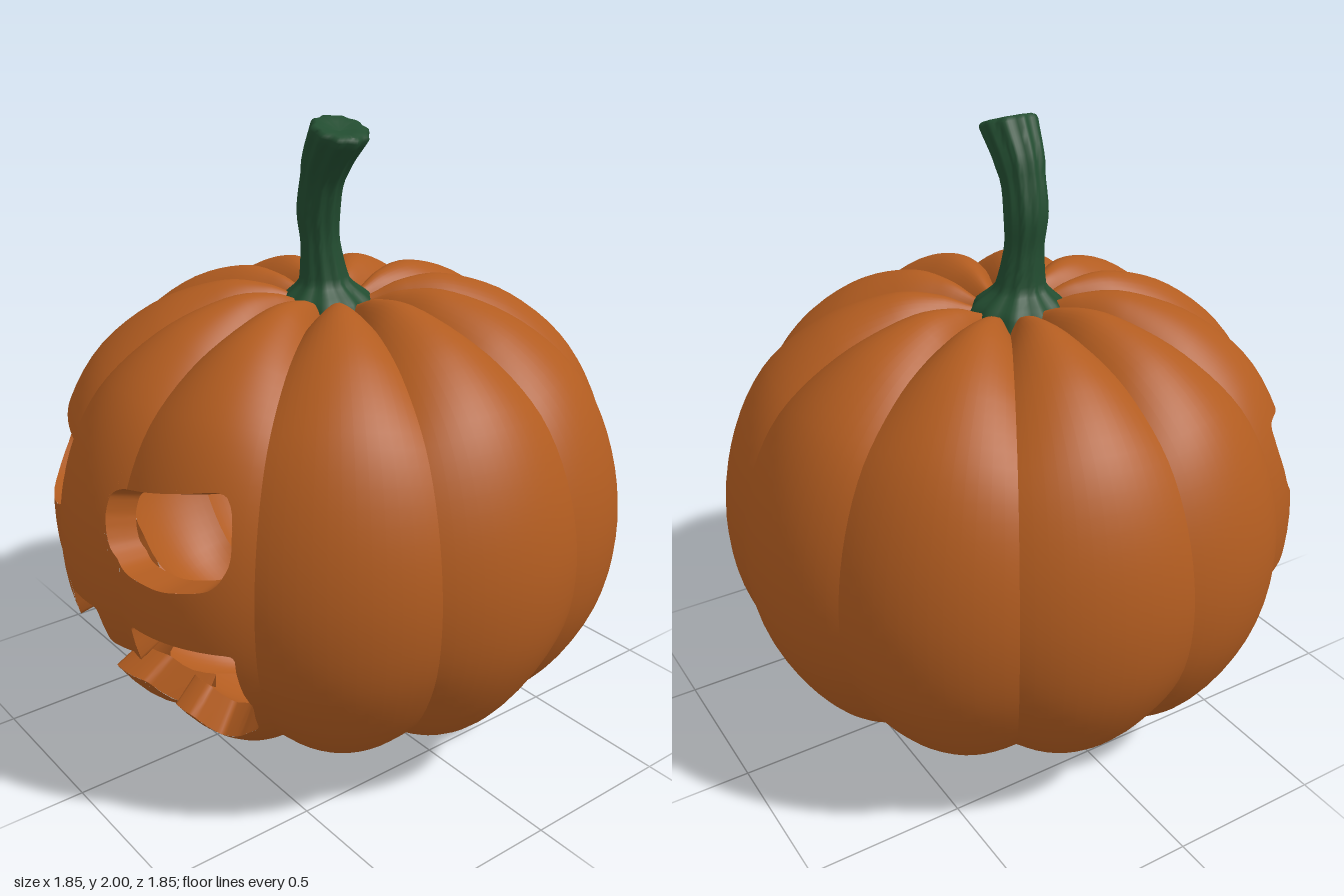
import * as THREE from 'three';
import { toCreasedNormals } from 'three/addons/utils/BufferGeometryUtils.js';

const flat = (name, color) => {
  const m = new THREE.MeshStandardMaterial({ color });
  m.name = name;
  return m;
};
const orange = flat('pumpkin orange', 0xb25c20);
const green = flat('stem green', 0x224c30);
const brown = flat('scar brown', 0x80492a);

const WALL = 0.105;
const ROWS = 64;
const snap = (v) => Math.round(v * 500) / 500;
const vec2s = (list) => list.map(([x, y]) => new THREE.Vector2(x, y));

// Ridge profile (radius, height) from the bottom dimple to the top dimple
const profile = new THREE.SplineCurve(vec2s([
  [0, 0.06], [0.1, 0.042], [0.25, 0.032], [0.49, 0.09], [0.72, 0.23], [0.88, 0.48], [0.928, 0.74],
  [0.887, 1.01], [0.772, 1.24], [0.58, 1.4], [0.37, 1.475], [0.22, 1.468], [0.11, 1.425], [0, 1.39],
]));

// Angles of the creases between the lobes, from +z towards +x
const creases = [-154, -120, -86, -54, -21, 8, 38, 71, 104, 139, 173, 206]
  .map((d) => snap(THREE.MathUtils.degToRad(d)));

// Point of the body at angle phi and profile parameter s, moved inwards by inset
function bodyPoint(phi, s, inset) {
  const p = profile.getPoint(s);
  const t = profile.getPoint(Math.min(1, s + 1e-3)).sub(profile.getPoint(Math.max(0, s - 1e-3))).normalize();
  const nx = t.y * Math.min(1, p.x / 0.15), ny = -t.x;
  const f = phi < creases[0] ? phi + Math.PI * 2 : phi;
  let i = 0;
  while (i < creases.length - 2 && f > creases[i + 1]) i++;
  const a = (f - creases[i]) / (creases[i + 1] - creases[i]);
  const d = inset + (0.027 + 0.033 * ny * ny) * (2 * a - 1) ** 2;
  const r = Math.max(0, p.x - nx * d);
  return new THREE.Vector3(r * Math.sin(phi), p.y - ny * d, r * Math.cos(phi));
}

function bodyNormal(phi, s, inset) {
  const c = THREE.MathUtils.clamp(s, 0.004, 0.996), e = 1e-5, h = 1e-3;
  const du = bodyPoint(phi + e, c, inset).sub(bodyPoint(phi - e, c, inset)).divideScalar(e);
  const dv = bodyPoint(phi, c + h, inset).sub(bodyPoint(phi, c - h, inset)).divideScalar(h);
  return du.cross(dv).normalize().multiplyScalar(inset > 0 ? -1 : 1);
}

// Finds the body parameters (phi, s) of a point given in front elevation
function toBody({ x, y }) {
  let phi = x, s = 0.5;
  for (let i = 0; i < 100; i++) {
    const p = bodyPoint(phi, s, 0);
    phi += (x - p.x) / 1.1;
    s += (y - p.y) / 4;
  }
  return { phi: snap(phi), s };
}

// Rounds the corners of an outline, subdivides it and lays it on the body
function carve(list, radius) {
  const pts = vec2s(list), out = [];
  pts.forEach((p, i) => {
    const prev = pts[(i + pts.length - 1) % pts.length], next = pts[(i + 1) % pts.length];
    const near = (q) => p.clone().lerp(q, Math.min(0.4, radius / p.distanceTo(q)));
    const corner = new THREE.QuadraticBezierCurve(near(prev), p, near(next));
    out.push(...corner.getPoints(radius > 0.03 ? 5 : 3));
  });
  const dense = [];
  out.forEach((p, i) => {
    const q = out[(i + 1) % out.length], n = Math.ceil(p.distanceTo(q) / 0.05);
    for (let k = 0; k < n; k++) dense.push(p.clone().lerp(q, k / n));
  });
  return dense.map(toBody);
}

// Cut-outs, clockwise as seen from the front
const holes = {
  rightEye: carve([[-0.61, 1.125], [-0.265, 1.03], [-0.26, 0.92], [-0.32, 0.82], [-0.44, 0.79],
    [-0.58, 0.81], [-0.65, 0.89], [-0.645, 1.02]], 0.04),
  leftEye: carve([[0.44, 1.11], [0.475, 1.05], [0.5, 0.92], [0.47, 0.84], [0.33, 0.805], [0.17, 0.81],
    [0.1, 0.85], [0.065, 0.94], [0.07, 1.025]], 0.04),
  mouth: carve([
    // upper edge with its teeth
    [-0.75, 0.645], [-0.57, 0.64], [-0.565, 0.53], [-0.505, 0.525], [-0.46, 0.635], [-0.31, 0.635],
    [-0.305, 0.515], [-0.16, 0.515], [-0.13, 0.635], [0.02, 0.635], [0.04, 0.52], [0.175, 0.505],
    [0.18, 0.64], [0.51, 0.645],
    // lower edge with its teeth
    [0.49, 0.44], [0.44, 0.32], [0.355, 0.25], [0.28, 0.22], [0.265, 0.32], [0.17, 0.32], [0.16, 0.205],
    [0.08, 0.2], [0.07, 0.355], [-0.09, 0.35], [-0.1, 0.195], [-0.29, 0.195], [-0.31, 0.35],
    [-0.43, 0.345], [-0.45, 0.19], [-0.57, 0.28], [-0.69, 0.41], [-0.735, 0.5]], 0.018),
};

const edges = Object.values(holes).flatMap((h) => h.map((p, i) => [p, h[(i + 1) % h.length]]));

// Shell surface built in columns that stop at the cut-outs
function shellGeometry(inset) {
  const cuts = new Set([...edges.map(([p]) => p.phi), -Math.PI, Math.PI]);
  for (let i = 0; i < creases.length - 1; i++) {
    for (let k = 0; k < 13; k++) {
      const f = THREE.MathUtils.lerp(creases[i], creases[i + 1], k / 13);
      cuts.add(f > Math.PI ? f - Math.PI * 2 : snap(f));
    }
  }
  const phis = [...cuts].sort((a, b) => a - b);
  const pos = [], nor = [], index = [];
  for (let c = 0; c < phis.length - 1; c++) {
    const a = phis[c], b = phis[c + 1], m = (a + b) / 2;
    const at = ([p, q], f) => p.s + (q.s - p.s) * (f - p.phi) / (q.phi - p.phi);
    const crossings = edges
      .filter(([p, q]) => Math.min(p.phi, q.phi) < m && Math.max(p.phi, q.phi) > m)
      .sort((e, g) => at(e, m) - at(g, m))
      .map((e) => [at(e, a), at(e, b)]);
    const limits = [[0, 0], ...crossings, [1, 1]];
    for (let k = 0; k < limits.length; k += 2) {
      // Shared row heights between the two limits keep neighbouring columns joined
      const levels = [limits[k]];
      const lo = Math.max(...limits[k]) + 1e-3, hi = Math.min(...limits[k + 1]) - 1e-3;
      for (let j = 1; j < ROWS; j++) if (j / ROWS > lo && j / ROWS < hi) levels.push([j / ROWS, j / ROWS]);
      levels.push(limits[k + 1]);
      levels.forEach((level, j) => {
        [a, b].forEach((f, side) => {
          pos.push(...bodyPoint(f, level[side], inset));
          nor.push(...bodyNormal(f + (m - f) * 0.2, level[side], inset));
        });
        if (j === 0) return;
        const v = pos.length / 3 - 4;
        if (inset > 0) index.push(v, v + 3, v + 1, v, v + 2, v + 3);
        else index.push(v, v + 1, v + 3, v, v + 3, v + 2);
      });
    }
  }
  const g = new THREE.BufferGeometry();
  g.setAttribute('position', new THREE.Float32BufferAttribute(pos, 3));
  g.setAttribute('normal', new THREE.Float32BufferAttribute(nor, 3));
  g.setIndex(index);
  return g;
}

// Closed rings joined into a skin
function loft(rings) {
  const n = rings[0].length, index = [];
  for (let r = 0; r < rings.length - 1; r++) {
    for (let i = 0; i < n; i++) {
      const a = r * n + i, b = r * n + (i + 1) % n;
      index.push(a, a + n, b, b, a + n, b + n);
    }
  }
  const g = new THREE.BufferGeometry().setFromPoints(rings.flat());
  g.setIndex(index);
  g.computeVertexNormals();
  return toCreasedNormals(g, 0.9);
}

// Ribbed stem: each station has a centre, a radius and a tilt
function stemGeometry() {
  const stations = [[-0.01, 1.38, 0.03, 0.155, 0], [-0.01, 1.43, 0.03, 0.13, 0], [-0.01, 1.485, 0.037, 0.076, 0],
    [-0.012, 1.58, 0.047, 0.061, 0], [-0.01, 1.71, 0.058, 0.064, 0.08], [0.035, 1.85, 0.066, 0.07, 0.32],
    [0.113, 1.96, 0.072, 0.084, 0.34]];
  const path = new THREE.CatmullRomCurve3(stations.map((s) => new THREE.Vector3(s[0], s[1], s[2])));
  const size = new THREE.CatmullRomCurve3(stations.map((s) => new THREE.Vector3(s[3], s[4], 0)));
  const ring = (t, scale, lift) => {
    const c = path.getPoint(t), { x: r, y: tilt } = size.getPoint(t);
    return Array.from({ length: 60 }, (_, i) => {
      const a = i / 60 * Math.PI * 2, d = r * scale * (1 + 0.05 * Math.cos(10 * a));
      return new THREE.Vector3(Math.cos(a) * d, lift, Math.sin(a) * d * 1.07)
        .applyAxisAngle(new THREE.Vector3(0, 0, 1), -tilt).add(c);
    });
  };
  const rings = Array.from({ length: 31 }, (_, i) => ring(i / 30, 1, 0));
  // Rounded rim and slightly sunken end
  rings.push(ring(1, 0.96, 0.01), ring(1, 0.85, 0.015), ring(1, 0.5, 0.01), ring(1, 0.001, 0));
  return loft(rings);
}

export function createModel() {
  const model = new THREE.Group();
  model.name = 'carvedPumpkin';
  const add = (name, geometry, material) => {
    const mesh = new THREE.Mesh(geometry, material);
    mesh.name = name;
    model.add(mesh);
    return mesh;
  };
  add('outerSkin', shellGeometry(0), orange);
  add('innerWall', shellGeometry(WALL), orange);

  // Cut faces through the thickness of the wall
  for (const [name, hole] of Object.entries(holes)) {
    const rings = [0, WALL / 2, WALL].map((d) => hole.map(({ phi, s }) => bodyPoint(phi, s, d)));
    add(name + 'CutFace', loft(rings), orange);
  }

  add('stem', stemGeometry(), green);

  // Small cupped scar under the body
  const scar = add('bottomScar', new THREE.LatheGeometry(vec2s([[0, 0.04], [0.05, 0.028], [0.075, 0.004],
    [0.088, 0], [0.105, 0.008], [0.108, 0.022], [0.1, 0.035], [0.09, 0.08]]), 40), brown);
  scar.position.set(-0.005, 0, -0.02);
  return model;
}
